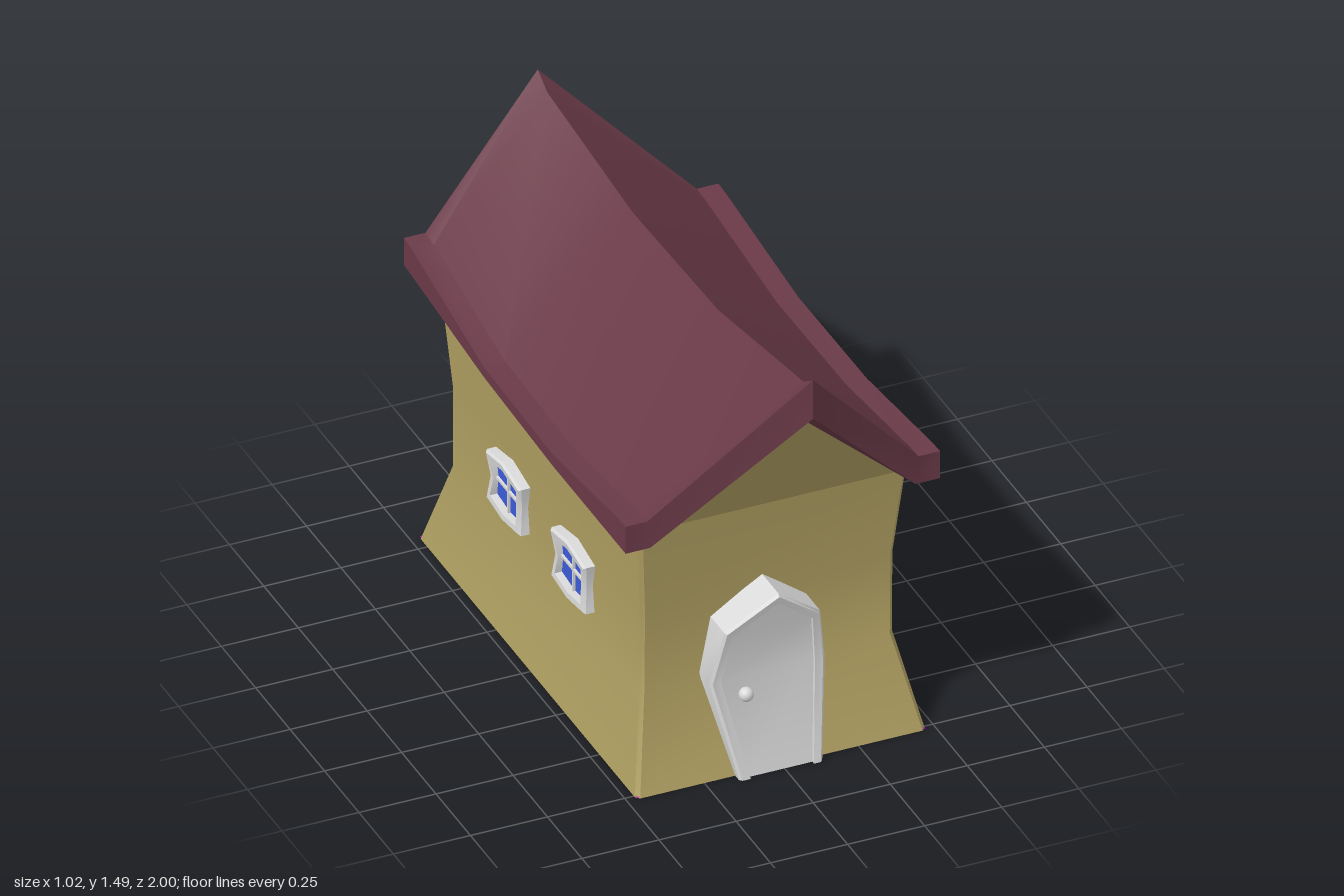
import * as THREE from 'three';
import { toCreasedNormals } from 'three/addons/utils/BufferGeometryUtils.js';

const mat = (name, color) => {
  const m = new THREE.MeshStandardMaterial({ color, side: THREE.DoubleSide });
  m.name = name;
  return m;
};

// Skin over rows of [x, y, z] points; each row may be a closed loop.
function skin(rows, closed, caps = []) {
  const n = rows[0].length, idx = [];
  const quad = (a, b, c, d) => idx.push(a, b, c, a, c, d);
  for (let i = 0; i < rows.length - 1; i++)
    for (let j = 0; j < (closed ? n : n - 1); j++) {
      const k = (j + 1) % n;
      quad(i * n + j, i * n + k, (i + 1) * n + k, (i + 1) * n + j);
    }
  const last = (rows.length - 1) * n;
  for (const [a, b, c, d] of caps) {
    quad(d, c, b, a);
    quad(last + a, last + b, last + c, last + d);
  }
  const g = new THREE.BufferGeometry();
  g.setAttribute('position', new THREE.Float32BufferAttribute(rows.flat(2), 3));
  g.setIndex(idx);
  return toCreasedNormals(g, 0.6);
}

// Linear lookup in a table of [key, value]
function lookup(table, v) {
  for (let i = 1; i < table.length; i++) {
    const [a, p] = table[i - 1], [b, q] = table[i];
    if (v <= b) return p + (q - p) * Math.max(0, (v - a) / (b - a));
  }
  return table[table.length - 1][1];
}

export function createModel() {
  const house = new THREE.Group();
  house.name = 'house';
  const plaster = mat('plaster', 0xb0a062);
  const roofRed = mat('roofRed', 0x6a3a48);
  const white = mat('whitePaint', 0xdadada);
  const glass = mat('blueGlass', 0x3c5cd8);
  const purple = mat('purpleFloor', 0xcc00cc);
  const add = (parent, name, geo, m) => {
    const mesh = new THREE.Mesh(geo, m);
    mesh.name = name;
    parent.add(mesh);
    return mesh;
  };

  // Pinched walls with chamfered corners: y, half width, front z, back z
  const c = 0.012;
  const wallRows = [
    [0, 0.47, 0.77, -0.81], [0.3, 0.41, 0.665, -0.71],
    [0.58, 0.41, 0.67, -0.71], [0.89, 0.435, 0.71, -0.755],
  ].map(([y, w, f, b], i) => {
    const lift = i === 3 ? 0.06 : 0; // the back right corner sits higher
    return [
      [-w + c, y, f], [w - c, y, f], [w, y, f - c], [w, y, b + c],
      [w - c, y, b], [-w + c, y + lift, b], [-w, y + lift, b + c], [-w, y, f - c],
    ];
  });
  add(house, 'walls', skin(wallRows, true), plaster);

  // Gables leaning outward under the roof
  add(house, 'frontGable', skin([
    [[-0.435, 0.89, 0.71], [0.435, 0.89, 0.71]],
    [[0, 1.36, 0.96], [0, 1.36, 0.96]],
  ], false), plaster);
  add(house, 'backGable', skin([
    [[0.435, 0.89, -0.755], [-0.435, 0.95, -0.755]],
    [[0, 1.285, -0.96], [0, 1.285, -0.96]],
  ], false), plaster);

  // Sagging roof: ridge z, ridge y, eave z, eave top y, lift of the right eave
  const roofRows = [
    [1.0, 1.485, 0.78, 0.975, 0], [0.93, 1.44, 0.72, 0.972, 0],
    [0.31, 1.33, 0.25, 0.92, 0], [-0.31, 1.31, -0.25, 0.915, 0.02],
    [-0.93, 1.37, -0.77, 0.972, 0.07], [-1.0, 1.41, -0.83, 0.975, 0.075],
  ].map(([rz, ry, ez, ey, lift]) => {
    const b = 0.88, l = lift;
    return [
      [-0.51, b + l, ez], [-0.51, ey + l, ez], [-0.44, ey + l, ez], [0, ry, rz],
      [0.44, ey, ez], [0.51, ey, ez], [0.51, b, ez],
      [0.43, b, ez], [0, ry - 0.135, rz], [-0.43, b + l, ez],
    ];
  });
  add(house, 'roof', skin(roofRows, true,
    [[0, 1, 2, 9], [2, 3, 8, 9], [3, 4, 7, 8], [4, 5, 6, 7]]), roofRed);

  // Door frame following the bend of the wall
  const door = new THREE.Group();
  door.name = 'door';
  house.add(door);
  const doorZ = (y) => lookup([[0, 0.805], [0.32, 0.745], [0.5, 0.775], [0.62, 0.8]], y);
  const outer = [[-0.15, 0], [-0.22, 0.32], [-0.185, 0.51], [-0.02, 0.62], [0.125, 0.51], [0.155, 0.32], [0.12, 0]];
  const inner = [[-0.115, 0], [-0.185, 0.32], [-0.16, 0.49], [-0.02, 0.585], [0.1, 0.49], [0.12, 0.32], [0.09, 0]];
  add(door, 'doorFrame', skin(outer.map(([x, y], i) => {
    const [u, v] = inner[i], z = doorZ(y);
    return [
      [x, y, 0.64], [x, y, z - 0.008], [x + (u - x) * 0.25, y + (v - y) * 0.25, z],
      [u, v, doorZ(v)], [u, v, 0.64],
    ];
  }), true, [[0, 1, 3, 4]]), white);

  // Door leaf and knob
  add(door, 'doorLeaf', skin([0, 1, 2, 3].map((i) => [inner[i], inner[6 - i]].map(
    ([x, y]) => [x, y, doorZ(y) - 0.012])), false), white);
  const knob = add(door, 'doorKnob', new THREE.SphereGeometry(0.023, 16, 12), white);
  knob.position.set(-0.11, 0.27, 0.76);

  // Two windows on the right wall
  const winX = (y) => -lookup([[0.37, 0.448], [0.47, 0.438], [0.575, 0.45]], y);
  const ring = [[-0.12, 0.385], [-0.108, 0.47], [-0.125, 0.55], [0, 0.575],
    [0.125, 0.55], [0.108, 0.47], [0.12, 0.385], [0, 0.37]];
  const shrink = ([z, y], s) => [z * (1 - s), 0.47 + (y - 0.47) * (1 - s * 1.15)];
  for (const [i, z0] of [-0.26, 0.21].entries()) {
    const win = new THREE.Group();
    win.name = 'window' + (i + 1);
    win.position.z = z0;
    house.add(win);
    const loop = [...ring, ring[0]];
    add(win, 'windowFrame', skin(loop.map((p) => {
      const [z1, y1] = shrink(p, 0.06), [z2, y2] = shrink(p, 0.22);
      return [[-0.4, p[1], p[0]], [winX(p[1]) + 0.008, p[1], p[0]],
        [winX(y1), y1, z1], [winX(y2), y2, z2], [-0.4, y2, z2]];
    }), true), white);
    const pane = ring.map((p) => shrink(p, 0.2));
    add(win, 'windowPane', skin([
      pane.map(([z, y]) => [-0.42, y, z]), pane.map(() => [-0.42, 0.47, 0]),
    ], true), glass);
    const bars = [[0.155, 0.008], [0.008, 0.185]];
    for (const [h, w] of bars) {
      const bar = add(win, 'windowBar', new THREE.BoxGeometry(0.008, h, w), white);
      bar.position.set(-0.424, 0.47, 0);
    }
  }

  // Floor with coloured patches on its underside, as [x, z] outlines
  const slab = (name, pts, y, m) => {
    const shape = new THREE.Shape(pts.map(([x, z]) => new THREE.Vector2(x, z)));
    const geo = new THREE.ShapeGeometry(shape).rotateX(Math.PI / 2);
    add(house, name, geo, m).position.y = y;
  };
  slab('floor', [[-0.468, -0.808], [0.468, -0.808], [0.468, 0.768], [-0.468, 0.768]], 0.004, purple);
  slab('floorPatchPlaster', [[0.31, 0.21], [0.465, -0.05], [0.45, -0.38], [0.33, -0.51], [0.06, -0.21],
    [-0.14, -0.14], [-0.42, 0.12], [-0.465, 0.39], [-0.4, 0.65], [-0.04, 0.49]], 0, plaster);
  slab('floorPatchBack', [[0.165, -0.4], [0.15, -0.805], [-0.465, -0.805], [-0.46, -0.14],
    [-0.18, -0.2], [0.03, -0.25]], 0, roofRed);
  slab('floorPatchFront', [[-0.02, 0.765], [-0.465, 0.765], [-0.45, 0.68], [-0.18, 0.71]], 0, roofRed);

  return house;
}
